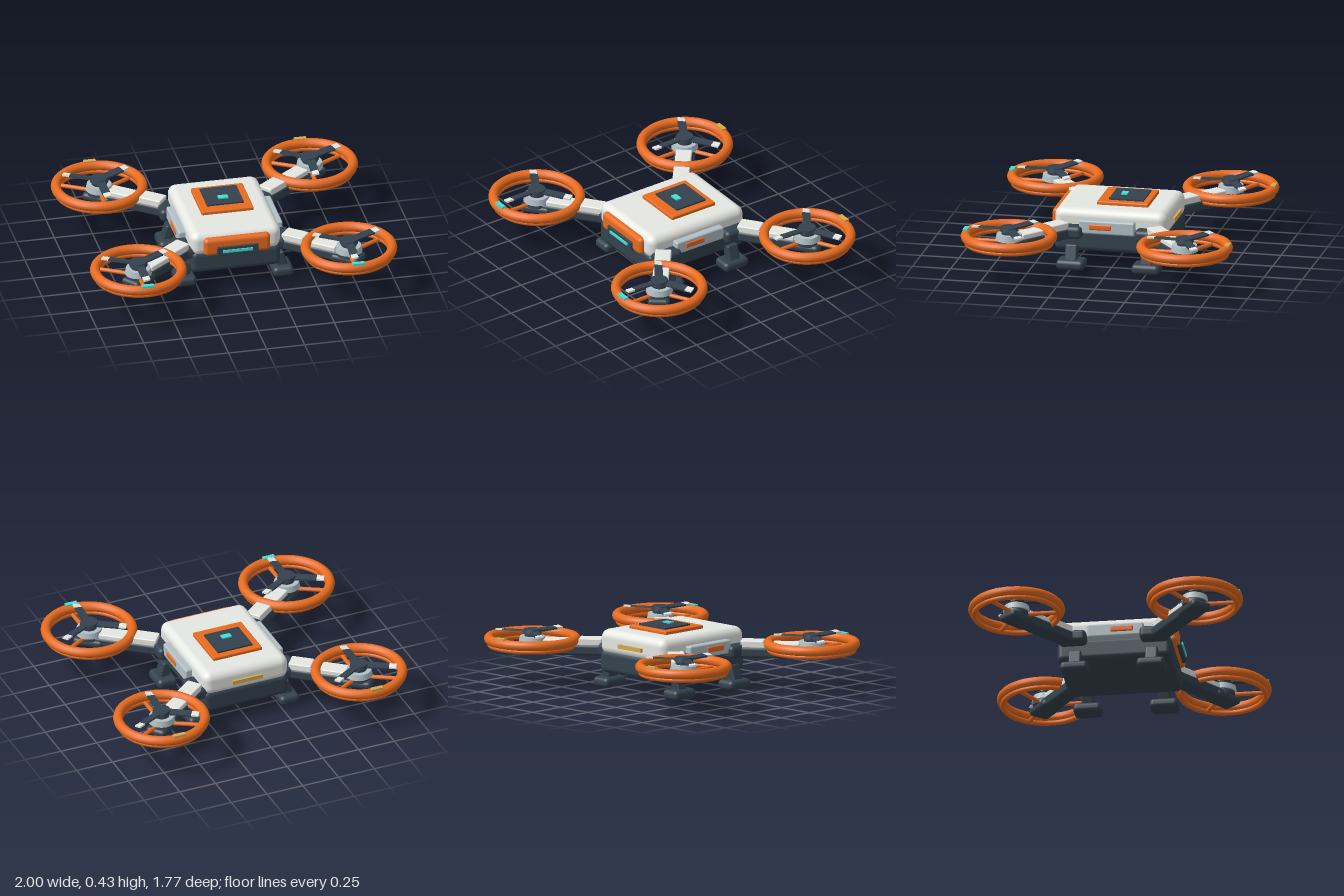
import * as THREE from 'three';
import { RoundedBoxGeometry } from 'three/addons/geometries/RoundedBoxGeometry.js';

const mat = (name, color) => {
  const m = new THREE.MeshStandardMaterial({ color });
  m.name = name;
  return m;
};

export function createModel() {
  const shell = mat('light grey', 0xe6e8e3);
  const dark = mat('dark slate', 0x34424e);
  const orange = mat('orange', 0xe96c20);
  const steel = mat('blue grey', 0xb2c0c6);
  const teal = mat('teal', 0x45dfd3);
  const gold = mat('gold', 0xd8a84c);

  const model = new THREE.Group();
  model.name = 'quadcopter';

  const add = (parent, name, geo, material, x = 0, y = 0, z = 0) => {
    const m = new THREE.Mesh(geo, material);
    m.name = name;
    m.position.set(x, y, z);
    parent.add(m);
    return m;
  };
  const rbox = (w, h, d, r) => new RoundedBoxGeometry(w, h, d, 3, r);
  const box = (w, h, d) => new THREE.BoxGeometry(w, h, d);
  const cyl = (r1, r2, h, n = 24) => new THREE.CylinderGeometry(r1, r2, h, n);

  // Body
  add(model, 'lowerHull', rbox(0.585, 0.15, 0.735, 0.035), dark, 0, 0.183, 0);
  add(model, 'upperShell', rbox(0.594, 0.165, 0.738, 0.055), shell, 0, 0.3075, 0);

  // Top hatch
  add(model, 'topFrame', rbox(0.34, 0.04, 0.336, 0.008), orange, 0, 0.392, -0.053);
  add(model, 'topPanel', box(0.24, 0.012, 0.225), dark, 0, 0.417, -0.067);
  add(model, 'topLight', box(0.064, 0.009, 0.04), teal, 0, 0.427, -0.033);

  // Nose and tail lights
  add(model, 'noseFrame', rbox(0.435, 0.122, 0.07, 0.028), orange, 0, 0.3, 0.364);
  add(model, 'nosePanel', rbox(0.27, 0.062, 0.03, 0.006), dark, 0, 0.274, 0.396);
  add(model, 'noseLight', box(0.195, 0.018, 0.009), teal, 0, 0.276, 0.415);
  add(model, 'tailLight', box(0.21, 0.026, 0.02), gold, 0, 0.3, -0.374);

  // Side pods and landing feet
  for (const sx of [-1, 1]) {
    add(model, 'sidePod', rbox(0.08, 0.088, 0.365, 0.012), steel, sx * 0.302, 0.285, 0.014);
    add(model, 'sideStripe', rbox(0.02, 0.038, 0.147, 0.009), orange, sx * 0.339, 0.289, 0.056);
    for (const sz of [-1, 1]) {
      const leg = add(model, 'leg', rbox(0.066, 0.115, 0.08, 0.012), dark, sx * 0.312, 0.098, sz * 0.247);
      leg.rotation.z = sx * 0.28;
      add(model, 'foot', rbox(0.135, 0.066, 0.185, 0.028), dark, sx * 0.318, 0.033, sz * 0.247);
    }
  }

  // One arm, motor, propeller and guard at each corner
  for (const sx of [-1, 1]) for (const sz of [-1, 1]) {
    add(model, 'armBracket', rbox(0.15, 0.085, 0.18, 0.028), dark, sx * 0.3, 0.247, sz * 0.262);

    const arm = new THREE.Group();
    arm.name = 'arm';
    arm.position.set(sx * 0.3, 0, sz * 0.27);
    arm.rotation.y = Math.atan2(-sz * 0.305, sx * 0.39);
    model.add(arm);
    add(arm, 'armBeam', rbox(0.52, 0.07, 0.116, 0.018), dark, 0.24, 0.241, 0);
    add(arm, 'armCover', rbox(0.37, 0.036, 0.104, 0.008), shell, 0.235, 0.287, 0);
    add(arm, 'armRootCover', rbox(0.15, 0.03, 0.104, 0.008), shell, 0.115, 0.302, 0);
    add(arm, 'motorPad', rbox(0.2, 0.055, 0.14, 0.024), dark, 0.49, 0.232, 0);

    const rotor = new THREE.Group();
    rotor.name = 'rotor';
    rotor.position.set(sx * 0.69, 0, sz * 0.575);
    model.add(rotor);
    add(rotor, 'motorBase', cyl(0.075, 0.08, 0.03), dark, 0, 0.267, 0);
    add(rotor, 'motor', cyl(0.08, 0.087, 0.04), steel, 0, 0.298, 0);
    add(rotor, 'motorShaft', cyl(0.05, 0.05, 0.03, 16), dark, 0, 0.33, 0);
    add(rotor, 'hub', cyl(0.055, 0.06, 0.026), dark, 0, 0.351, 0);

    // Guard rings
    for (const [name, R, r, y] of [['guardRing', 0.278, 0.032, 0.3], ['lowerGuardRing', 0.272, 0.017, 0.262]]) {
      const ring = add(rotor, name, new THREE.TorusGeometry(R, r, 12, 56), orange, 0, y, 0);
      ring.rotation.x = Math.PI / 2;
    }
    add(rotor, 'guardLight', box(0.08, 0.018, 0.03), sz > 0 ? teal : gold, 0, 0.329, sz * 0.282);

    // Blades and guard struts
    for (let i = 0; i < 3; i++) {
      const a = Math.PI / 6 + i * Math.PI * 2 / 3;
      const blade = new THREE.Group();
      blade.name = 'blade';
      blade.position.y = 0.349;
      blade.rotation.y = a - (sx > 0 ? 0.05 : -0.02);
      rotor.add(blade);
      add(blade, 'bladeArm', box(0.155, 0.011, 0.052), dark, 0.117, 0, 0).rotation.x = 0.15;
      add(blade, 'bladeTip', box(0.048, 0.011, 0.044), shell, 0.218, 0, 0).rotation.x = 0.15;

      const strut = new THREE.Group();
      strut.name = 'guardStrut';
      strut.rotation.y = a;
      rotor.add(strut);
      add(strut, 'strutBar', cyl(0.014, 0.014, 0.21, 10), orange, 0.165, 0.263, 0).rotation.z = Math.PI / 2;
    }
  }
  return model;
}
